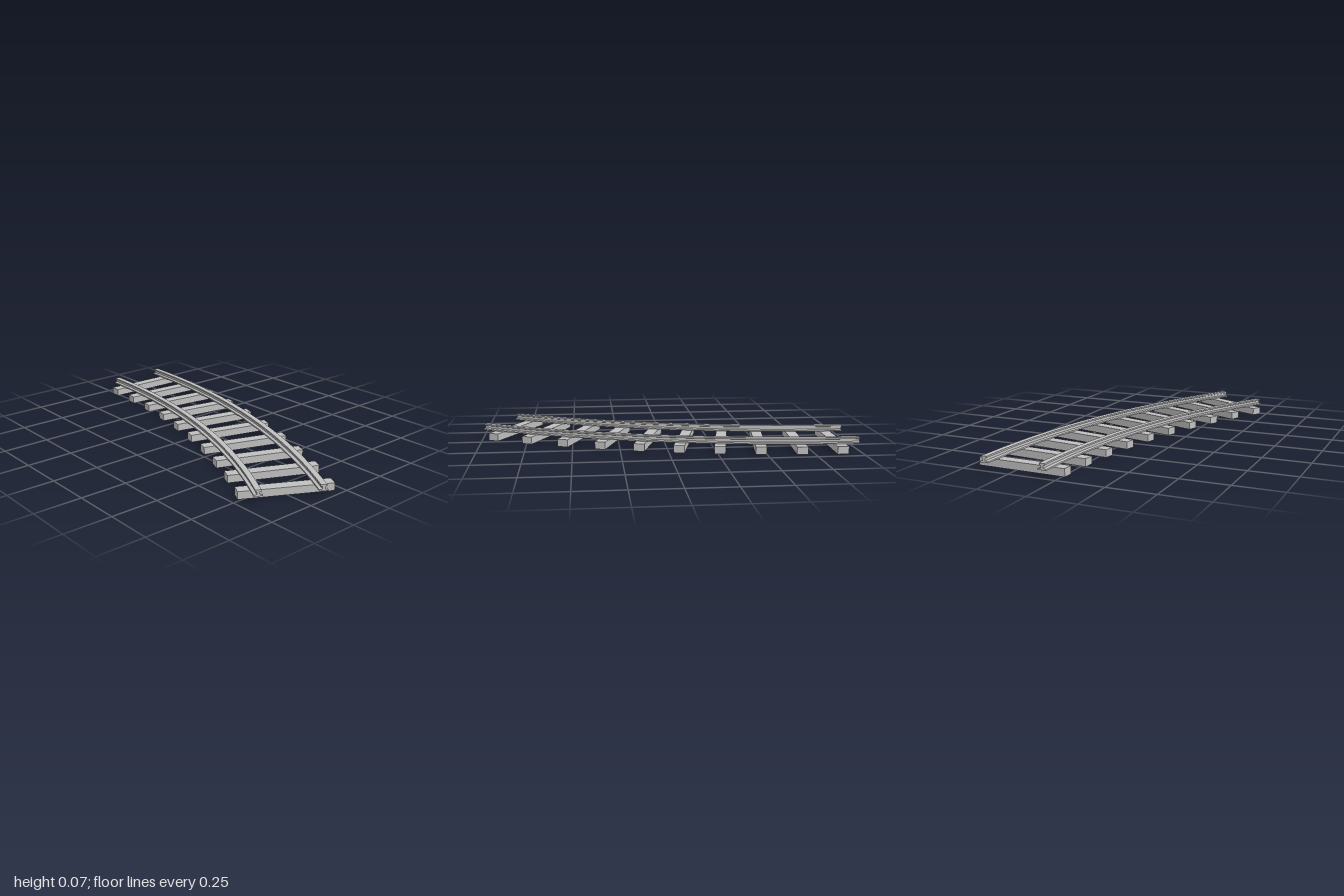
import * as THREE from 'three';
import { toCreasedNormals } from 'three/addons/utils/BufferGeometryUtils.js';

const ARC = Math.PI / 6;              // the track turns through 30 degrees
const CENTRE_X = -1, CENTRE_Z = 3.598; // centre of the curve
const MID_RADIUS = 3.822, HALF_GAUGE = 0.156;
const TIES = 10, TIE_HEIGHT = 0.04;

const onArc = (radius, angle) => [
  CENTRE_X + radius * Math.sin(angle),
  CENTRE_Z - radius * Math.cos(angle),
];

// I-shaped rail section: half width and height, from foot to head
const HALF_SECTION = [
  [0.022, 0.04], [0.022, 0.047], [0.007, 0.05],
  [0.007, 0.062], [0.015, 0.065], [0.015, 0.073],
];

// straight extrusion bent round the curve
function railGeometry(radius) {
  const right = HALF_SECTION.map(([x, y]) => new THREE.Vector2(x, y));
  const left = HALF_SECTION.map(([x, y]) => new THREE.Vector2(-x, y)).reverse();
  const geo = new THREE.ExtrudeGeometry(new THREE.Shape([...right, ...left]), {
    depth: 1, steps: 32, bevelEnabled: false,
  });
  const pos = geo.attributes.position;
  for (let i = 0; i < pos.count; i++) {
    const [x, z] = onArc(radius + pos.getX(i), pos.getZ(i) * ARC);
    pos.setXYZ(i, x, pos.getY(i), z);
  }
  return toCreasedNormals(geo, 0.3);
}

export function createModel() {
  const track = new THREE.Group();
  track.name = 'curvedTrack';
  const grey = new THREE.MeshStandardMaterial({ color: 0xc0c0c0 });
  grey.name = 'light grey';

  // rails
  for (const [name, side] of [['outerRail', 1], ['innerRail', -1]]) {
    const rail = new THREE.Mesh(railGeometry(MID_RADIUS + side * HALF_GAUGE), grey);
    rail.name = name;
    track.add(rail);
  }

  // ties, evenly spaced and square to the curve
  const ties = new THREE.Group();
  ties.name = 'ties';
  const tieGeo = new THREE.BoxGeometry(0.058, TIE_HEIGHT, 0.475);
  for (let i = 0; i < TIES; i++) {
    const angle = ((i + 0.5) / TIES) * ARC;
    const [x, z] = onArc(MID_RADIUS, angle);
    const tie = new THREE.Mesh(tieGeo, grey);
    tie.name = `tie${i + 1}`;
    tie.position.set(x, TIE_HEIGHT / 2, z);
    tie.rotation.y = -angle;
    ties.add(tie);
  }
  track.add(ties);
  return track;
}
